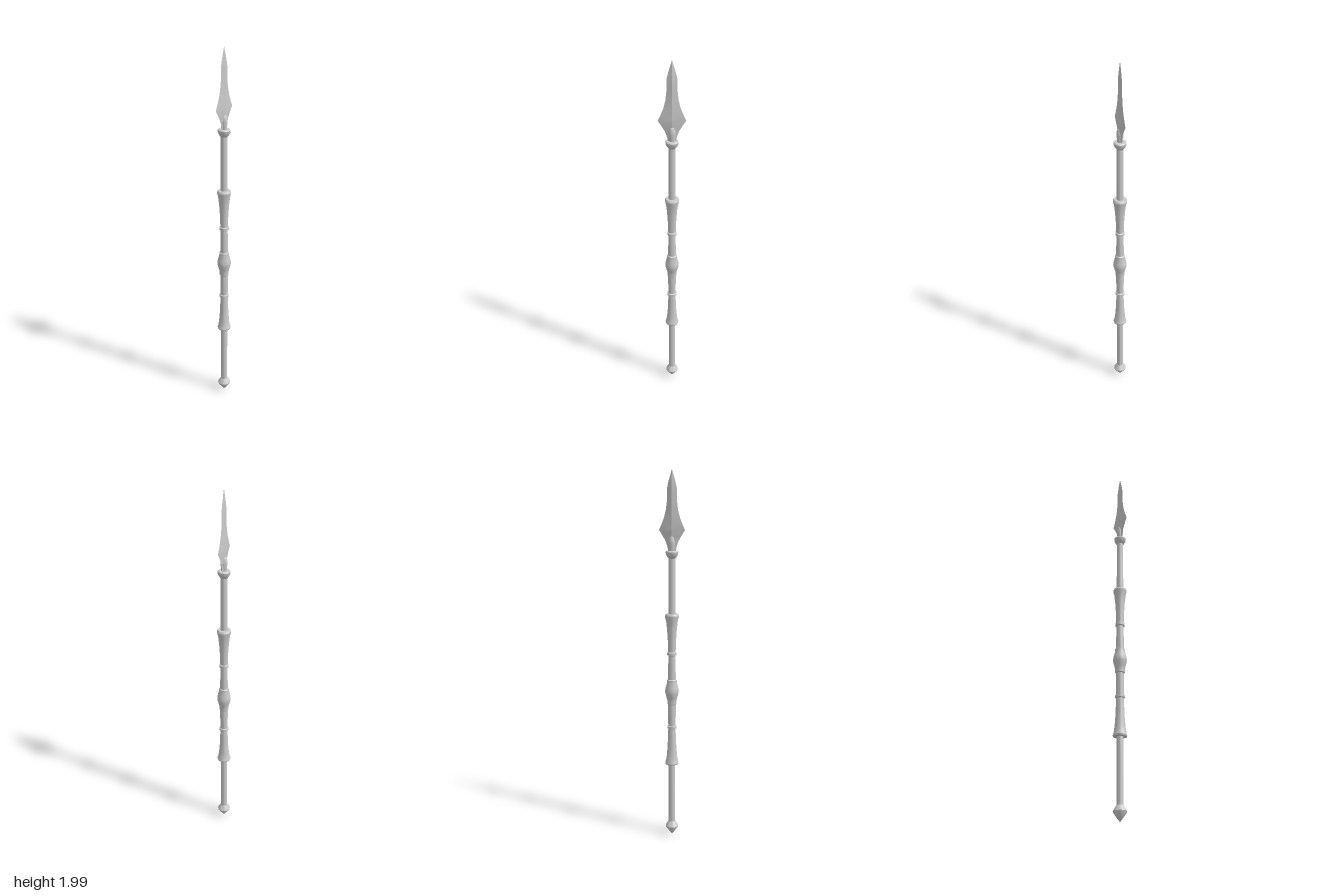
import * as THREE from 'three';
import { toCreasedNormals } from 'three/addons/utils/BufferGeometryUtils.js';

const material = new THREE.MeshStandardMaterial({ color: 0xcccccc });

function addMesh(group, name, geometry, crease = 0.6) {
  const mesh = new THREE.Mesh(toCreasedNormals(geometry, crease), material);
  mesh.name = name;
  group.add(mesh);
}

// Turned part from [radius, height] pairs, listed from bottom to top
function turned(group, name, profile) {
  const points = profile.map(([r, y]) => new THREE.Vector2(r, y));
  addMesh(group, name, new THREE.LatheGeometry(points, 20));
}

// Diamond-section blade from [height, half width, half thickness] rows
function bladeGeometry(rows) {
  const positions = [], indices = [];
  for (const [y, w, d] of rows) positions.push(w, y, 0, 0, y, d, -w, y, 0, 0, y, -d);
  for (let i = 0; i < rows.length - 1; i++) {
    for (let j = 0; j < 4; j++) {
      const a = i * 4 + j, b = i * 4 + (j + 1) % 4;
      indices.push(a, a + 4, b, b, a + 4, b + 4);
    }
  }
  indices.push(0, 1, 2, 0, 2, 3); // closed base
  const geometry = new THREE.BufferGeometry();
  geometry.setAttribute('position', new THREE.Float32BufferAttribute(positions, 3));
  geometry.setIndex(indices);
  return geometry;
}

export function createModel() {
  const model = new THREE.Group();
  model.name = 'spear';

  // Pole and pointed butt
  turned(model, 'pole', [[0, 0.05], [0.018, 0.05], [0.018, 1.58], [0, 1.58]]);
  turned(model, 'buttCap', [
    [0, 0.008], [0.01, 0.02], [0.034, 0.053], [0.035, 0.06], [0.028, 0.072], [0.018, 0.088],
  ]);

  // Lower grip, flaring at the bottom with a small ring
  turned(model, 'lowerGrip', [
    [0.018, 0.428], [0.035, 0.428], [0.037, 0.436], [0.033, 0.446], [0.028, 0.48], [0.024, 0.53],
    [0.021, 0.6], [0.02, 0.631], [0.025, 0.634], [0.025, 0.646], [0.02, 0.649], [0.021, 0.71], [0.021, 0.77],
  ]);

  // Swollen knop between the two grips
  turned(model, 'centreKnop', [
    [0.021, 0.768], [0.025, 0.772], [0.025, 0.79], [0.029, 0.806], [0.036, 0.832],
    [0.037, 0.845], [0.034, 0.862], [0.026, 0.892], [0.026, 0.904], [0.021, 0.908],
  ]);

  // Upper grip, flaring at the top
  turned(model, 'upperGrip', [
    [0.021, 0.9], [0.02, 0.98], [0.019, 1.038], [0.025, 1.041], [0.025, 1.055], [0.02, 1.058],
    [0.022, 1.12], [0.026, 1.18], [0.031, 1.225], [0.036, 1.245], [0.037, 1.254], [0.032, 1.263], [0.018, 1.263],
  ]);

  // Collar and the socket that clasps the blade
  turned(model, 'collar', [
    [0.018, 1.552], [0.024, 1.56], [0.031, 1.572], [0.033, 1.586], [0.029, 1.591], [0.014, 1.591],
  ]);
  turned(model, 'socket', [
    [0.014, 1.588], [0.015, 1.605], [0.018, 1.63], [0.017, 1.645], [0.012, 1.662], [0, 1.672],
  ]);

  // Leaf blade with a central ridge
  addMesh(model, 'blade', bladeGeometry([
    [1.59, 0.02, 0.009], [1.61, 0.024, 0.01], [1.64, 0.034, 0.01], [1.668, 0.05, 0.01], [1.697, 0.069, 0.01],
    [1.725, 0.056, 0.01], [1.76, 0.042, 0.01], [1.8, 0.032, 0.009], [1.84, 0.027, 0.009],
    [1.885, 0.026, 0.009], [1.905, 0.026, 0.008], [1.94, 0.018, 0.006], [1.97, 0.009, 0.004], [2, 0, 0],
  ]), 0.3);

  return model;
}
